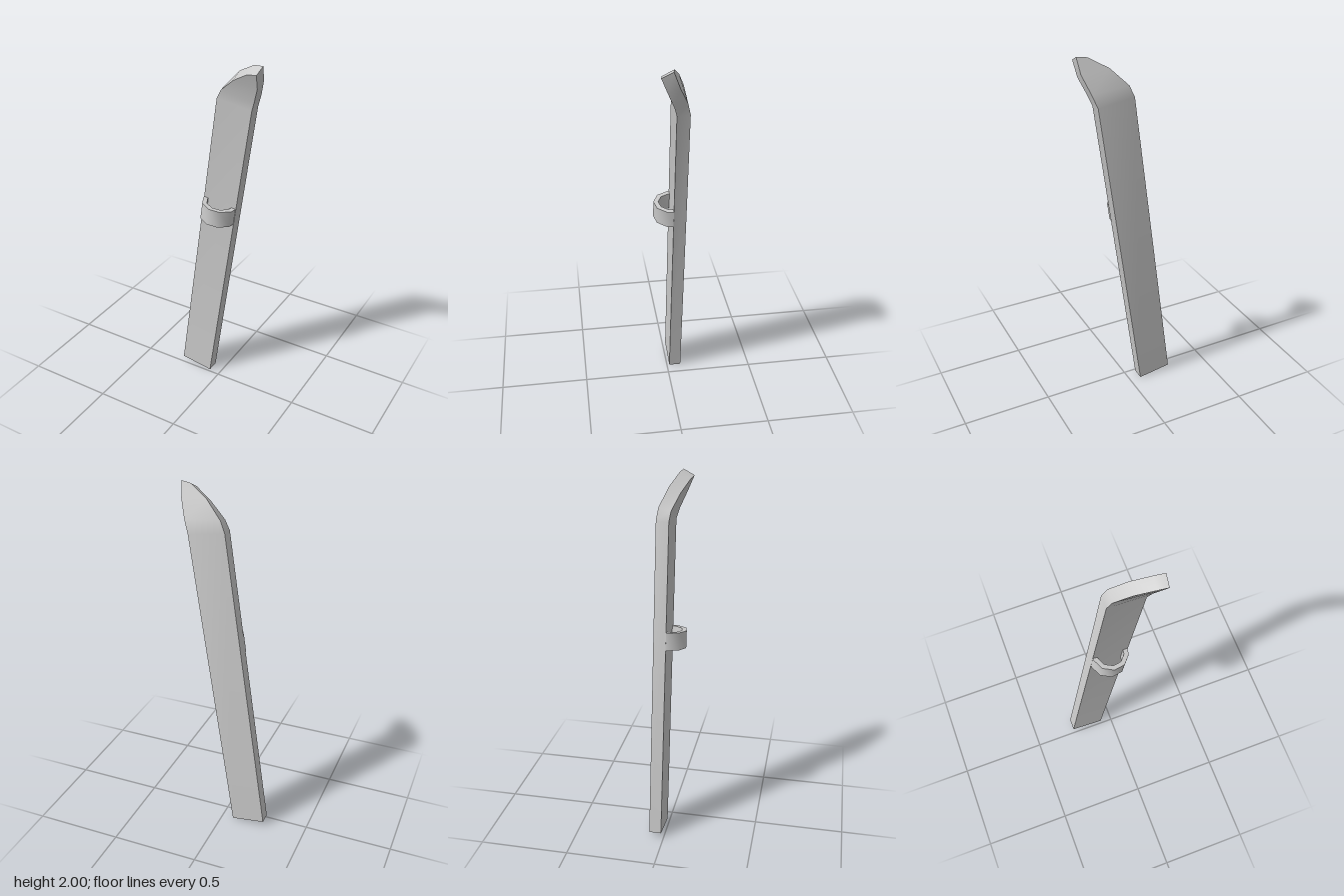
import * as THREE from 'three';
import { toCreasedNormals } from 'three/addons/utils/BufferGeometryUtils.js';

const TILT = -0.138;

// Cross-sections of the ski, bottom to tip.
// Corners in order: back left, back right, front right, front left.
const SECTIONS = [
  [[-0.257, 0.03, -0.083], [-0.067, 0.002, -0.083], [-0.067, 0.002, -0.015], [-0.257, 0.03, -0.015]],
  [[-0.017, 1.785, -0.083], [0.185, 1.755, -0.083], [0.185, 1.75, -0.015], [-0.017, 1.78, -0.015]],
  [[0.01, 1.847, -0.075], [0.21, 1.823, -0.066], [0.205, 1.803, 0], [0.01, 1.83, -0.009]],
  [[0.1, 1.937, -0.037], [0.245, 1.918, -0.021], [0.24, 1.89, 0.037], [0.1, 1.906, 0.024]],
  [[0.2, 1.994, 0], [0.255, 2.0, 0.01], [0.25, 1.97, 0.07], [0.195, 1.962, 0.06]],
];

function loft(sections) {
  const positions = sections.flat(2);
  const index = [0, 1, 2, 0, 2, 3];
  const last = (sections.length - 1) * 4;
  for (let i = 0; i < last; i += 4) {
    for (let c = 0; c < 4; c++) {
      const a = i + c, b = i + (c + 1) % 4;
      index.push(b, a, a + 4, b, a + 4, b + 4);
    }
  }
  index.push(last, last + 2, last + 1, last, last + 3, last + 2);
  const geometry = new THREE.BufferGeometry();
  geometry.setAttribute('position', new THREE.Float32BufferAttribute(positions, 3));
  geometry.setIndex(index);
  return toCreasedNormals(geometry, 0.6);
}

// Faceted arch shape: outer arc out, inner arc back
function strapGeometry(outer, inner, height) {
  const angles = [-6, 22, 60, 97, 135, 173, 186].map(THREE.MathUtils.degToRad);
  const arc = (r) => angles.map((a) => new THREE.Vector2(r * Math.cos(a), r * Math.sin(a)));
  const shape = new THREE.Shape([...arc(outer), ...arc(inner).reverse()]);
  const geometry = new THREE.ExtrudeGeometry(shape, { depth: height, bevelEnabled: false });
  geometry.rotateX(Math.PI / 2).translate(0, height / 2, 0);
  return toCreasedNormals(geometry, 0.75);
}

export function createModel() {
  const group = new THREE.Group();
  const material = new THREE.MeshStandardMaterial({ color: 0xcccccc });

  // Long flat board with an upturned, tapered tip
  const ski = new THREE.Mesh(loft(SECTIONS), material);
  ski.name = 'skiBoard';

  // Foot strap across the front of the board
  const strap = new THREE.Mesh(strapGeometry(0.1, 0.074, 0.097), material);
  strap.name = 'footStrap';
  strap.position.set(-0.004, 1.138, -0.018);
  strap.rotation.z = TILT;

  group.add(ski, strap);
  return group;
}
